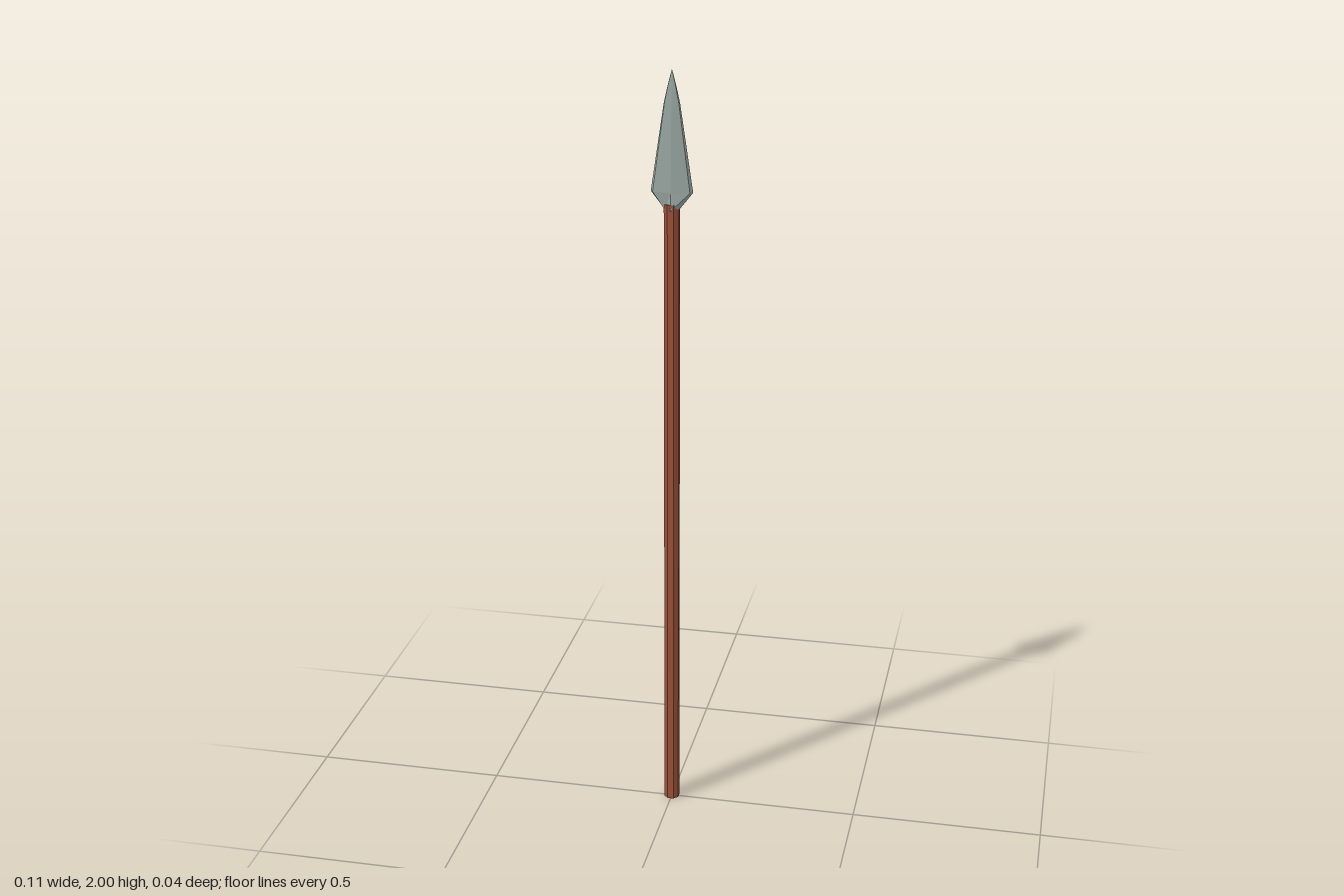
import * as THREE from 'three';

const wood = new THREE.MeshStandardMaterial({ name: 'reddish wood', color: 0x9a5038, flatShading: true });
const steel = new THREE.MeshStandardMaterial({ name: 'grey steel', color: 0x98a6a2, flatShading: true });

// Blade sections: height, half width, bevel half thickness, ridge half thickness
const SECTIONS = [
  [1.655, 0.018, 0.009, 0.02],
  [1.7, 0.053, 0.009, 0.016],
  [1.92, 0.02, 0.004, 0.007],
  [1.96, 0.011, 0.003, 0.004],
  [2.0, 0.0005, 0.0003, 0.0005],
];

// Ridged, bevelled eight-point outline, counter-clockwise when seen from above
function ring([y, w, e, d]) {
  const s = w * 0.88;
  return [[w, 0], [s, -e], [0, -d], [-s, -e], [-w, 0], [-s, e], [0, d], [s, e]].map(([x, z]) => [x, y, z]);
}

function bladeGeometry() {
  const rings = SECTIONS.map(ring);
  const n = 8;
  const index = [];
  for (let r = 0; r < rings.length - 1; r++) {
    for (let i = 0; i < n; i++) {
      const a = r * n + i, b = r * n + (i + 1) % n;
      index.push(a, b, b + n, a, b + n, a + n);
    }
  }
  // Bottom and tip caps
  const top = (rings.length - 1) * n;
  for (let i = 1; i < n - 1; i++) {
    index.push(0, i + 1, i, top, top + i, top + i + 1);
  }
  const g = new THREE.BufferGeometry();
  g.setAttribute('position', new THREE.Float32BufferAttribute(rings.flat(2), 3));
  g.setIndex(index);
  const flat = g.toNonIndexed();
  flat.computeVertexNormals();
  return flat;
}

export function createModel() {
  const group = new THREE.Group();
  group.name = 'spear';

  // Octagonal pole with a flat side facing front
  const length = 1.67;
  const shaft = new THREE.Mesh(new THREE.CylinderGeometry(0.0205, 0.0205, length, 8), wood);
  shaft.name = 'shaft';
  shaft.rotation.y = Math.PI / 8;
  shaft.position.y = length / 2;

  const blade = new THREE.Mesh(bladeGeometry(), steel);
  blade.name = 'spearhead';

  group.add(shaft, blade);
  return group;
}
